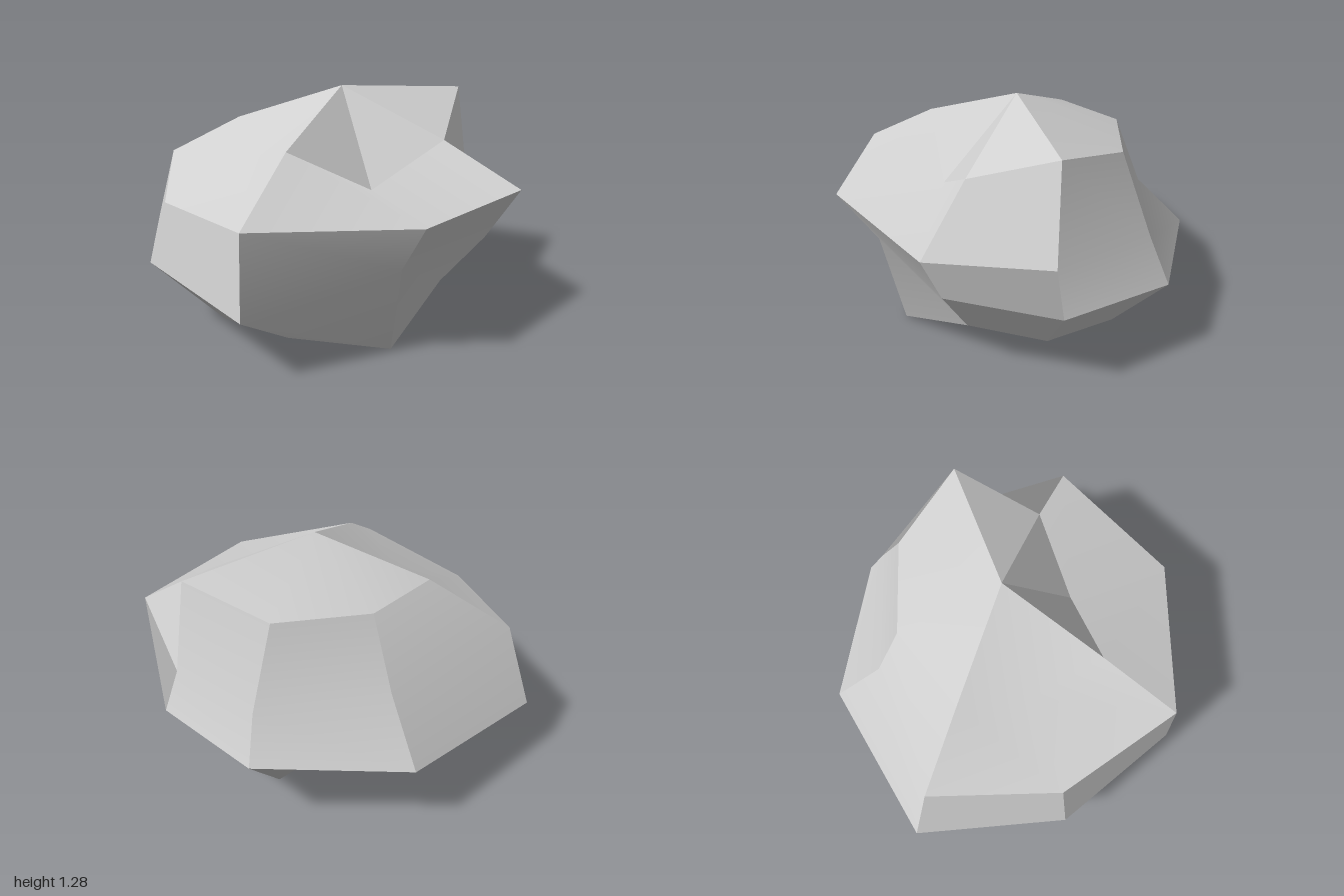
import * as THREE from 'three';

// Cross-sections from top to bottom, each running -x, +z, +x, -z in eight steps
const RINGS = [
  [[-0.42, 0.94, 0.01], [-0.37, 1.07, 0.40], [0.09, 0.815, 0.415], [0.53, 1.025, 0.38],
    [0.84, 1.21, 0], [0.57, 1.10, -0.40], [0.09, 1.085, -0.55], [-0.37, 1.06, -0.38]],
  [[-0.90, 0.75, 0.01], [-0.71, 0.82, 0.71], [0.095, 0.815, 0.98], [0.85, 0.79, 0.655],
    [0.91, 0.685, 0.03], [0.735, 0.70, -0.505], [0.075, 0.70, -0.71], [-0.70, 0.815, -0.67]],
  [[-1.00, 0.425, 0.01], [-0.73, 0.375, 0.735], [0.085, 0.52, 0.78], [0.72, 0.50, 0.545],
    [1.00, 0.47, 0.02], [0.81, 0.455, -0.59], [0.105, 0.415, -0.985], [-0.795, 0.355, -0.79]],
  [[-0.61, 0, 0], [-0.39, 0.065, 0.44], [0.10, 0.01, 0.665], [0.545, 0.20, 0.395],
    [0.74, 0.17, 0.02], [0.56, 0.11, -0.40], [0.09, 0.30, -0.46], [-0.37, 0.13, -0.39]],
];
const TOP = [0.095, 1.283, 0.015];
const BOTTOM = [0.09, 0.20, 0.03];
const SIDES = 8;
const CREASE = Math.cos(THREE.MathUtils.degToRad(24));

// Three- and four-sided facets as lists of point numbers
function boulderFacets() {
  const top = RINGS.length * SIDES, bottom = top + 1;
  const last = (RINGS.length - 1) * SIDES;
  const facets = [];
  for (let i = 0; i < SIDES; i++) {
    const j = (i + 1) % SIDES;
    facets.push([top, i, j]); // cap fan
    for (let r = 0; r < last; r += SIDES) { // side bands
      facets.push([r + i, r + SIDES + i, r + SIDES + j, r + j]);
    }
    facets.push([bottom, last + j, last + i]); // underside fan
  }
  return facets;
}

// Normal of a whole facet, from its diagonals (or two sides of a triangle)
function facetNormal(facet, points) {
  const [a, b, c, d = a] = facet.map((v) => points[v]);
  return c.clone().sub(a).cross(d.clone().sub(b)).normalize();
}

// Smooth normal at one corner, spreading over neighbours until a sharp edge
function cornerNormal(start, v, facets, normals, points) {
  const group = [start];
  for (const f of group) { // the list grows while it is walked
    facets.forEach((facet, g) => {
      const shared = facet.filter((w) => facets[f].includes(w)).length;
      if (facet.includes(v) && shared === 2 && !group.includes(g)
        && normals[f].dot(normals[g]) > CREASE) group.push(g);
    });
  }
  const sum = new THREE.Vector3();
  for (const f of group) {
    const facet = facets[f], n = facet.length, k = facet.indexOf(v);
    const next = points[facet[(k + 1) % n]].clone().sub(points[v]);
    const previous = points[facet[(k + n - 1) % n]].clone().sub(points[v]);
    sum.addScaledVector(normals[f], next.angleTo(previous));
  }
  return sum.normalize();
}

function boulderGeometry() {
  const points = [...RINGS.flat(), TOP, BOTTOM].map((p) => new THREE.Vector3(...p));
  const facets = boulderFacets();
  const normals = facets.map((facet) => facetNormal(facet, points));
  const position = [], normal = [], index = [];
  facets.forEach((facet, f) => {
    const first = position.length / 3;
    for (const v of facet) {
      position.push(...points[v].toArray());
      normal.push(...cornerNormal(f, v, facets, normals, points).toArray());
    }
    for (let k = 2; k < facet.length; k++) index.push(first, first + k - 1, first + k);
  });
  const geometry = new THREE.BufferGeometry();
  geometry.setAttribute('position', new THREE.Float32BufferAttribute(position, 3));
  geometry.setAttribute('normal', new THREE.Float32BufferAttribute(normal, 3));
  geometry.setIndex(index);
  return geometry;
}

export function createModel() {
  const stone = new THREE.MeshStandardMaterial({ color: 0xd0d0d0 });
  stone.name = 'pale grey stone';

  const boulder = new THREE.Mesh(boulderGeometry(), stone);
  boulder.name = 'boulder';

  const group = new THREE.Group();
  group.name = 'rock';
  group.add(boulder);
  return group;
}
